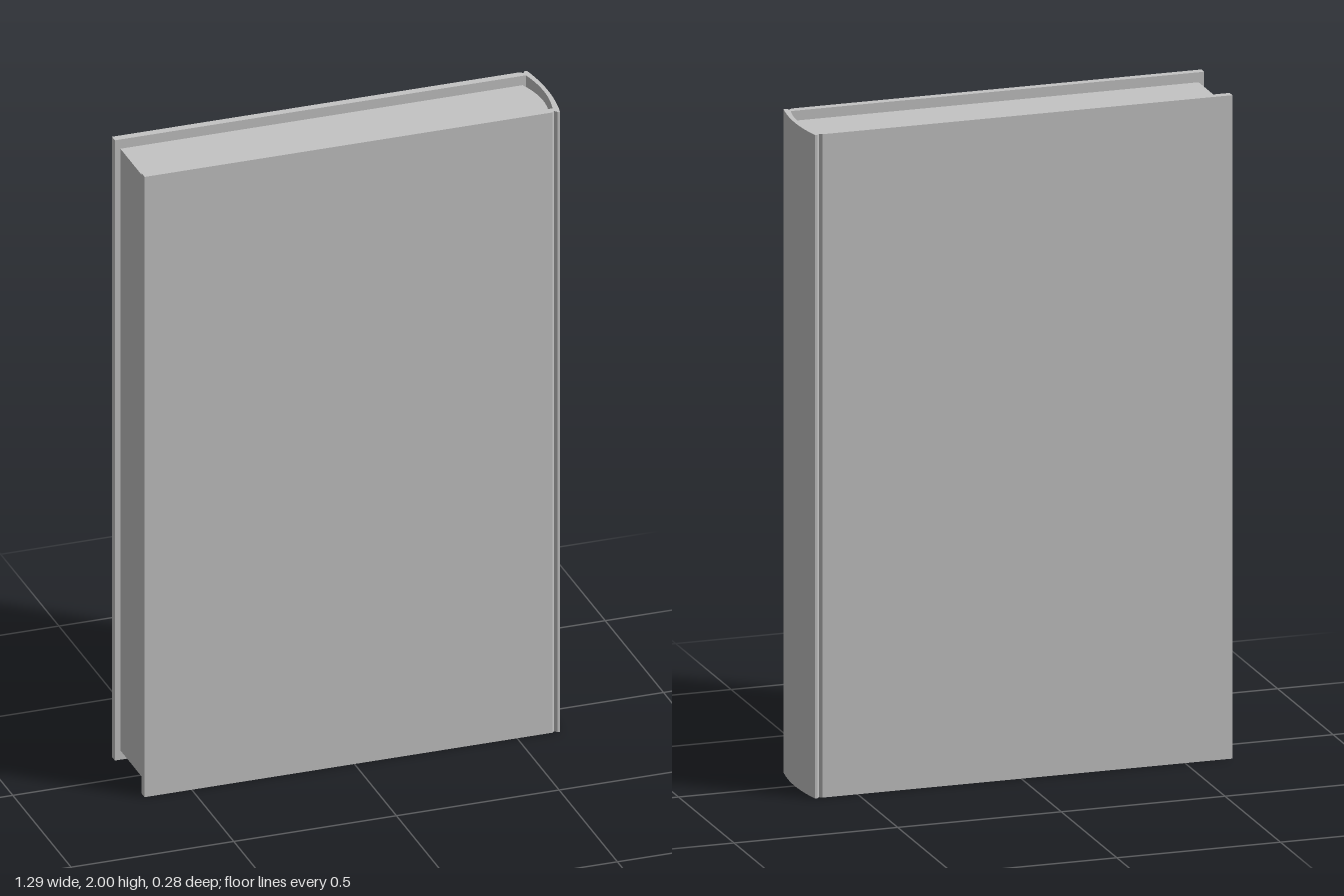
import * as THREE from 'three';
import { toCreasedNormals } from 'three/addons/utils/BufferGeometryUtils.js';

const grey = new THREE.MeshStandardMaterial({ color: 0xc4c4c4 });
grey.name = 'plain grey';

// Extrudes a plan outline (x, -z) upward from y0 to y1, smooth on the curves
function upright(name, shape, y0, y1) {
  const flat = new THREE.ExtrudeGeometry(shape, { depth: y1 - y0, bevelEnabled: false, curveSegments: 20 });
  flat.rotateX(-Math.PI / 2).translate(0, y0, 0);
  const mesh = new THREE.Mesh(toCreasedNormals(flat, 0.3), grey);
  mesh.name = name;
  return mesh;
}

export function createModel() {
  const book = new THREE.Group();
  book.name = 'book';

  // Hardback case: two boards, hinge grooves and a rounded spine in one outline
  const c = new THREE.Shape();
  c.moveTo(-0.645, -0.14);
  c.lineTo(0.608, -0.14);
  c.lineTo(0.616, -0.132); // hinge groove
  c.lineTo(0.624, -0.142);
  c.lineTo(0.631, -0.142);
  c.quadraticCurveTo(0.659, 0, 0.631, 0.142); // outside of the spine
  c.lineTo(0.624, 0.142);
  c.lineTo(0.616, 0.132);
  c.lineTo(0.608, 0.14);
  c.lineTo(-0.645, 0.14);
  c.lineTo(-0.645, 0.115);
  c.lineTo(0.618, 0.115);
  c.quadraticCurveTo(0.646, 0, 0.618, -0.115); // inside of the spine
  c.lineTo(-0.645, -0.115);
  c.closePath();
  book.add(upright('cover', c, 0, 2));

  // Page block, set in from the boards, with a rounded back
  const p = new THREE.Shape();
  p.moveTo(-0.628, -0.115);
  p.lineTo(0.608, -0.115);
  p.quadraticCurveTo(0.652, 0, 0.608, 0.115);
  p.lineTo(-0.628, 0.115);
  p.closePath();
  book.add(upright('pages', p, 0.03, 1.97));

  return book;
}
